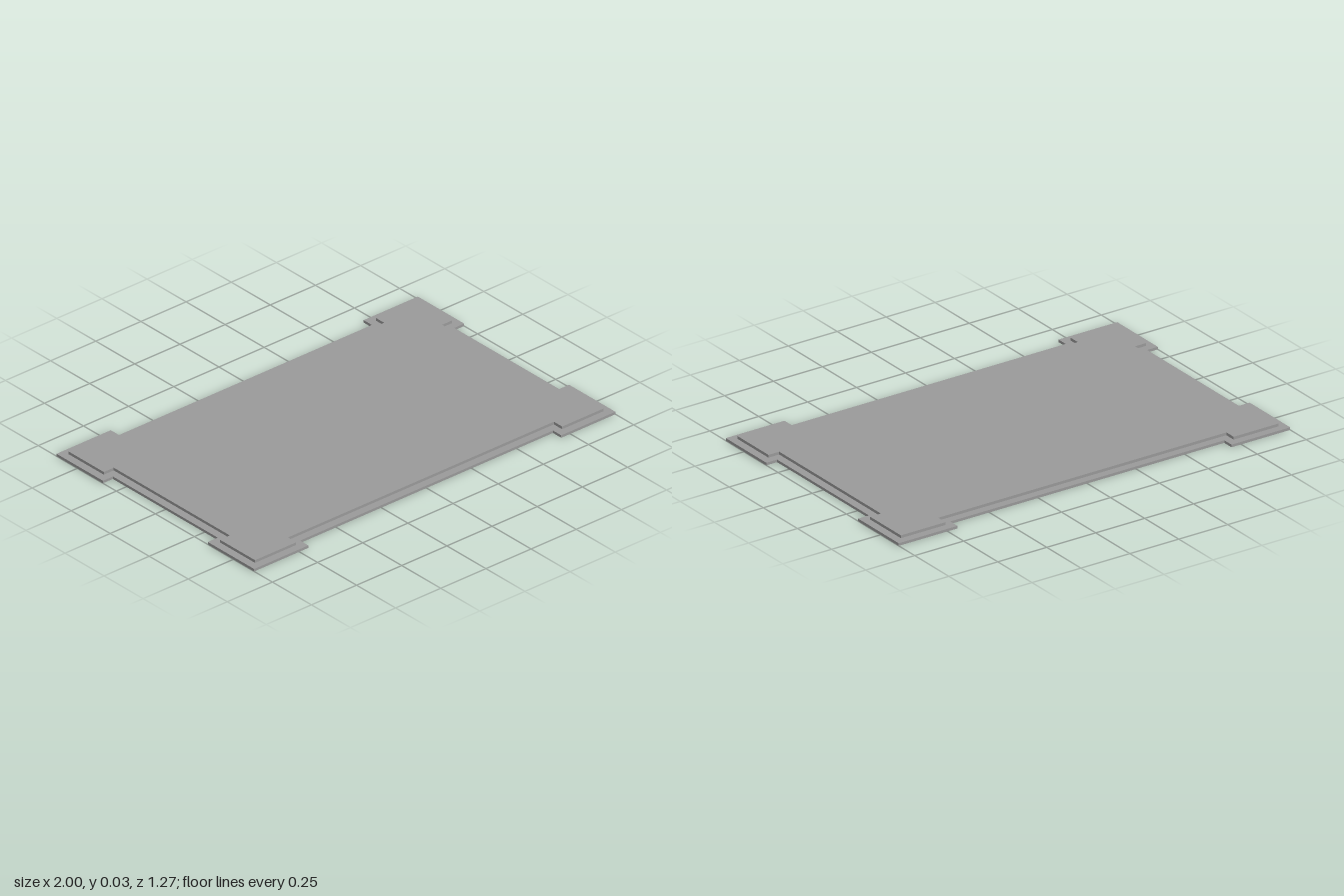
import * as THREE from 'three';

const RIM_HEIGHT = 0.012;
const TOP_HEIGHT = 0.025;
const RIM_WIDTH = 0.036;

// Rectangle with a projecting tab at each corner, shrunk evenly by inset
function outline(inset) {
  const tabX = 1 - inset, tabZ = 0.633 - inset;       // outer reach of the tabs
  const sideX = 0.945 - inset, sideZ = 0.58 - inset;  // straight edges between tabs
  const notchX = 0.7 + inset, notchZ = 0.336 + inset; // where the tabs begin
  const quarter = [[sideX, notchZ], [tabX, notchZ], [tabX, tabZ], [notchX, tabZ], [notchX, sideZ]];
  const flipped = [...quarter].reverse();
  return [
    ...quarter,
    ...flipped.map(([x, z]) => [-x, z]),
    ...quarter.map(([x, z]) => [-x, -z]),
    ...flipped.map(([x, z]) => [x, -z]),
  ].map(([x, z]) => new THREE.Vector2(x, z));
}

// Extrude a flat shape upward from y0 to y1
function slab(name, shape, y0, y1, material) {
  const geometry = new THREE.ExtrudeGeometry(shape, { depth: y1 - y0, bevelEnabled: false });
  geometry.rotateX(-Math.PI / 2);
  geometry.translate(0, y0, 0);
  const mesh = new THREE.Mesh(geometry, material);
  mesh.name = name;
  return mesh;
}

export function createModel() {
  const group = new THREE.Group();
  group.name = 'corneredBasePlate';
  const material = new THREE.MeshStandardMaterial({ color: 0x9a9a9a, flatShading: true });

  // Lower rim, open in the middle so the underside is recessed
  const rim = new THREE.Shape(outline(0));
  rim.holes.push(new THREE.Path(outline(RIM_WIDTH)));
  group.add(slab('lowerRim', rim, 0, RIM_HEIGHT, material));

  // Raised top panel
  const panel = new THREE.Shape(outline(RIM_WIDTH));
  group.add(slab('topPanel', panel, RIM_HEIGHT, TOP_HEIGHT, material));

  return group;
}
